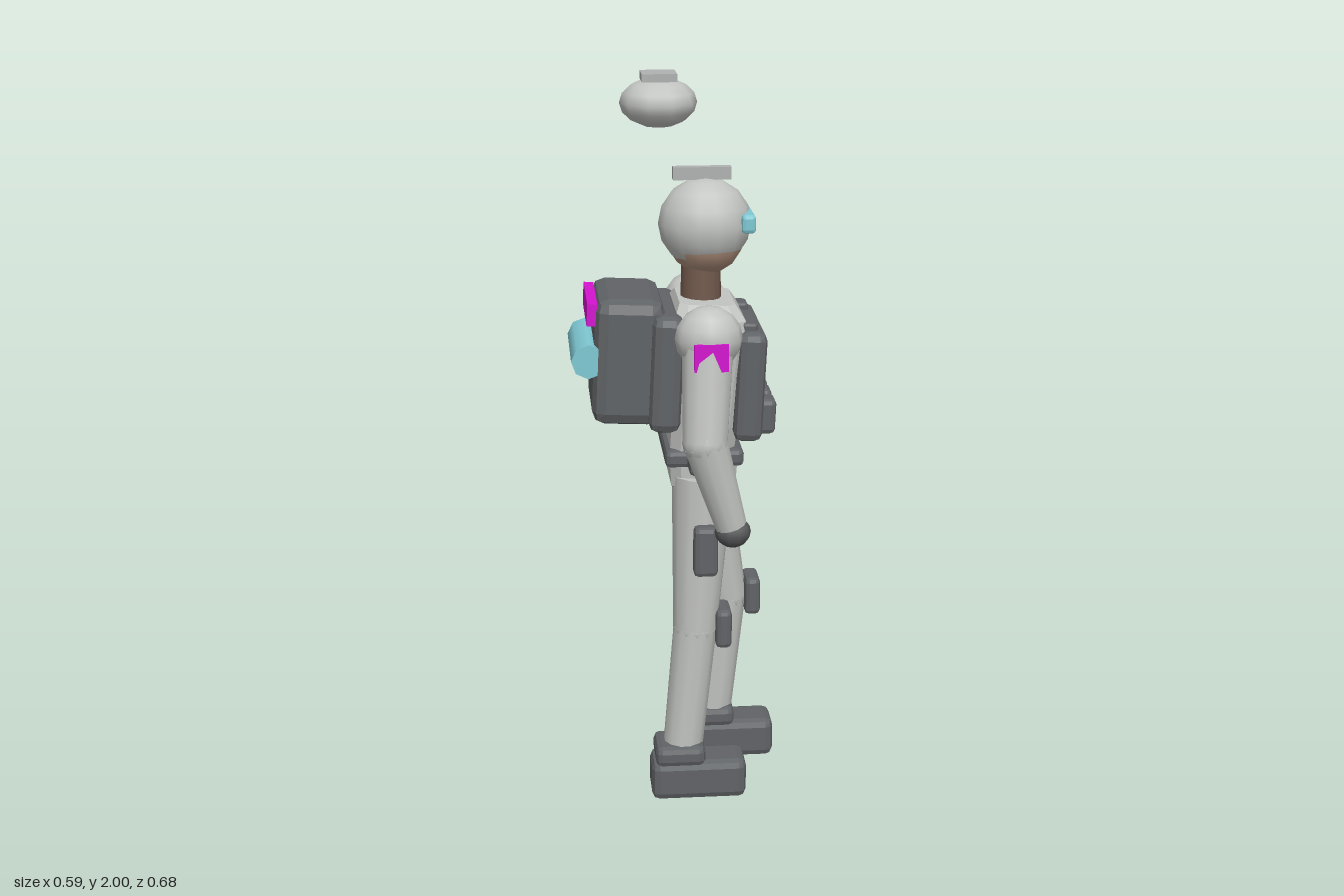
import * as THREE from 'three';
import { RoundedBoxGeometry } from 'three/addons/geometries/RoundedBoxGeometry.js';

const mat = (name, color) => {
  const m = new THREE.MeshStandardMaterial({ color });
  m.name = name;
  return m;
};

export function createModel() {
  const suit = mat('suit grey', 0xc2c4c1);
  const trim = mat('trim grey', 0xb0b2b1);
  const armor = mat('gear charcoal', 0x606366);
  const glove = mat('glove grey', 0x58595a);
  const skin = mat('skin', 0xb0907c);
  const neckTone = mat('neck brown', 0x735a4d);
  const cyan = mat('cyan', 0x80c9d4);
  const magenta = mat('magenta', 0xd414d0);

  const model = new THREE.Group();
  model.name = 'soldier';
  const MID = 0.01; // the figure's centre plane in z; it faces +x

  const add = (parent, name, geometry, material, x = 0, y = 0, z = 0) => {
    const m = new THREE.Mesh(geometry, material);
    m.name = name;
    m.position.set(x, y, z);
    parent.add(m);
    return m;
  };

  // Box given by its extents, with flat chamfered edges when r > 0
  const box = (parent, name, material, [x0, x1], [y0, y1], [z0, z1], r = 0) => {
    const s = [x1 - x0, y1 - y0, z1 - z0];
    const g = r ? new RoundedBoxGeometry(...s, 1, r) : new THREE.BoxGeometry(...s);
    if (r) g.computeVertexNormals();
    return add(parent, name, g, material, (x0 + x1) / 2, (y0 + y1) / 2, (z0 + z1) / 2);
  };

  const ball = (parent, name, material, p, rx, ry = rx, rz = rx, sides = 12) => {
    const m = add(parent, name, new THREE.SphereGeometry(1, sides, 8), material, ...p);
    m.scale.set(rx, ry, rz);
    return m;
  };

  // Tapered tube from a to b
  const limb = (parent, name, material, a, b, ra, rb) => {
    const A = new THREE.Vector3(...a), B = new THREE.Vector3(...b);
    const d = B.clone().sub(A);
    const m = add(parent, name, new THREE.CylinderGeometry(rb, ra, d.length(), 12), material);
    m.position.copy(A).addScaledVector(d, 0.5);
    m.quaternion.setFromUnitVectors(new THREE.Vector3(0, 1, 0), d.normalize());
    return m;
  };

  // Closed body through chamfered rectangles [y, centre x, half x, half z], listed upward
  const loft = (parent, name, material, sections) => {
    const rings = sections.map(([y, cx, hx, hz]) => {
      const c = Math.min(hx, hz) * 0.3;
      return [[hx, hz - c], [hx - c, hz], [c - hx, hz], [-hx, hz - c],
        [-hx, c - hz], [c - hx, -hz], [hx - c, -hz], [hx, c - hz]]
        .map(([x, z]) => [cx + x, y, MID + z]);
    });
    const pos = [];
    const tri = (a, b, c) => pos.push(...a, ...b, ...c);
    for (let i = 0; i < rings.length - 1; i++) {
      for (let k = 0; k < 8; k++) {
        const n = (k + 1) % 8, lo = rings[i], hi = rings[i + 1];
        tri(lo[k], hi[n], lo[n]);
        tri(lo[k], hi[k], hi[n]);
      }
    }
    const first = rings[0], last = rings[rings.length - 1];
    for (let k = 1; k < 7; k++) {
      tri(first[0], first[k], first[k + 1]);
      tri(last[0], last[k + 1], last[k]);
    }
    const g = new THREE.BufferGeometry();
    g.setAttribute('position', new THREE.Float32BufferAttribute(pos, 3));
    g.computeVertexNormals();
    return add(parent, name, g, material);
  };

  // Head and helmet
  add(model, 'neck', new THREE.CylinderGeometry(0.053, 0.056, 0.16, 12), neckTone, 0.063, 1.46, MID);
  ball(model, 'face', skin, [0.075, 1.602, MID], 0.108, 0.11, 0.104, 14);
  ball(model, 'helmet', suit, [0.073, 1.631, MID], 0.126, 0.123, 0.118, 14);
  box(model, 'visor', cyan, [0.164, 0.202], [1.615, 1.665], [-0.079, 0.096], 0.01);
  box(model, 'helmetCrest', trim, [-0.013, 0.143], [1.748, 1.782], [-0.006, 0.022]);

  // Torso leans slightly forward with everything worn on it
  const upper = new THREE.Group();
  upper.name = 'upperBody';
  const pivot = new THREE.Vector3(0.065, 1.25, 0);
  upper.rotation.z = -0.045;
  upper.position.copy(pivot).sub(pivot.clone().applyEuler(upper.rotation));
  model.add(upper);
  loft(upper, 'torso', suit, [
    [0.98, 0.065, 0.085, 0.135], [1.1, 0.07, 0.09, 0.15], [1.34, 0.072, 0.1, 0.178],
    [1.395, 0.07, 0.095, 0.16], [1.43, 0.065, 0.075, 0.11],
  ]);
  box(upper, 'frontPlate', armor, [0.145, 0.222], [1.07, 1.372], [-0.175, 0.193], 0.022);
  box(upper, 'backPlate', armor, [-0.085, 0.0], [1.09, 1.41], [-0.175, 0.195], 0.025);
  for (const s of [-1, 1]) {
    const z = MID + s * 0.115;
    box(upper, 'shoulderStrap', armor, [0.155, 0.197], [1.35, 1.392], [z - 0.03, z + 0.03], 0.008);
  }
  for (const k of [-1, 0, 1]) {
    const z = MID + k * 0.098;
    box(upper, 'chestPouch', armor, [0.205, 0.262], [1.08, 1.178], [z - 0.038, z + 0.038], 0.014);
  }

  // Backpack with a bedroll and a marker panel
  box(upper, 'backpack', armor, [-0.236, -0.05], [1.1, 1.445], [-0.147, 0.167], 0.035);
  const roll = add(upper, 'bedroll', new THREE.CylinderGeometry(0.047, 0.047, 0.294, 8), cyan, -0.25, 1.277, MID);
  roll.rotation.x = Math.PI / 2;
  box(upper, 'packMarker', magenta, [-0.258, -0.231], [1.37, 1.43], [-0.119, 0.137]);

  // Belt and pelvis
  box(model, 'belt', armor, [-0.045, 0.169], [0.987, 1.036], [-0.14, 0.16], 0.014);
  loft(model, 'pelvis', suit, [
    [0.865, 0.062, 0.06, 0.07], [0.925, 0.062, 0.088, 0.135], [1.0, 0.062, 0.093, 0.14],
  ]);

  for (const s of [-1, 1]) {
    const at = (x, y, z) => [x, y, MID + s * z];
    const span = (a, b) => [MID + s * a, MID + s * b].sort((p, q) => p - q);
    const side = new THREE.Group();
    side.name = s > 0 ? 'rightLimbs' : 'leftLimbs';
    model.add(side);

    // Arm
    ball(side, 'shoulder', suit, at(0.065, 1.365, 0.203), 0.09, 0.087, 0.08);
    limb(side, 'upperArm', suit, at(0.062, 1.36, 0.213), at(0.05, 1.1, 0.27), 0.069, 0.061);
    ball(side, 'elbow', suit, at(0.05, 1.1, 0.27), 0.061);
    limb(side, 'forearm', suit, at(0.05, 1.1, 0.27), at(0.122, 0.86, 0.257), 0.06, 0.043);
    ball(side, 'hand', glove, at(0.127, 0.842, 0.257), 0.049, 0.043, 0.044, 10);
    box(side, 'armPatch', magenta, [0.02, 0.11], [1.295, 1.368], span(0.276, 0.285));

    // Leg: the left one (-z) steps forward
    const stride = s > 0 ? 0 : 0.108;
    const hip = at(0.062, 0.95, 0.092);
    const knee = at(0.04 + stride, 0.51, 0.115);
    const ankle = at(0.005 + stride, 0.14, 0.12);
    limb(side, 'thigh', suit, hip, knee, 0.086, 0.062);
    ball(side, 'kneeJoint', suit, knee, 0.062);
    limb(side, 'shin', suit, knee, ankle, 0.061, 0.056);
    box(side, 'kneePad', armor, [0.094 + stride, 0.139 + stride], [0.457, 0.57], span(0.064, 0.167), 0.014);
    box(side, 'ankleCuff', armor, [-0.075 + stride, 0.065 + stride], [0.105, 0.165], span(0.056, 0.19), 0.018);
    box(side, 'boot', armor, [-0.086 + stride, 0.182 + stride], [0, 0.117], span(0.062, 0.187), 0.022);
    box(side, 'thighHolster', armor, [0.028, 0.094], [0.69, 0.834], span(0.165, 0.212), 0.014);
    box(side, 'hipPouch', armor, [0.015, 0.115], [0.982, 1.045], span(0.13, 0.212), 0.014);
  }

  // Hovering drone
  ball(model, 'drone', suit, [-0.033, 1.918, -0.237], 0.108, 0.069, 0.108, 10);
  box(model, 'dronePlate', trim, [-0.081, 0.016], [1.978, 2.0], [-0.285, -0.188]);

  return model;
}
